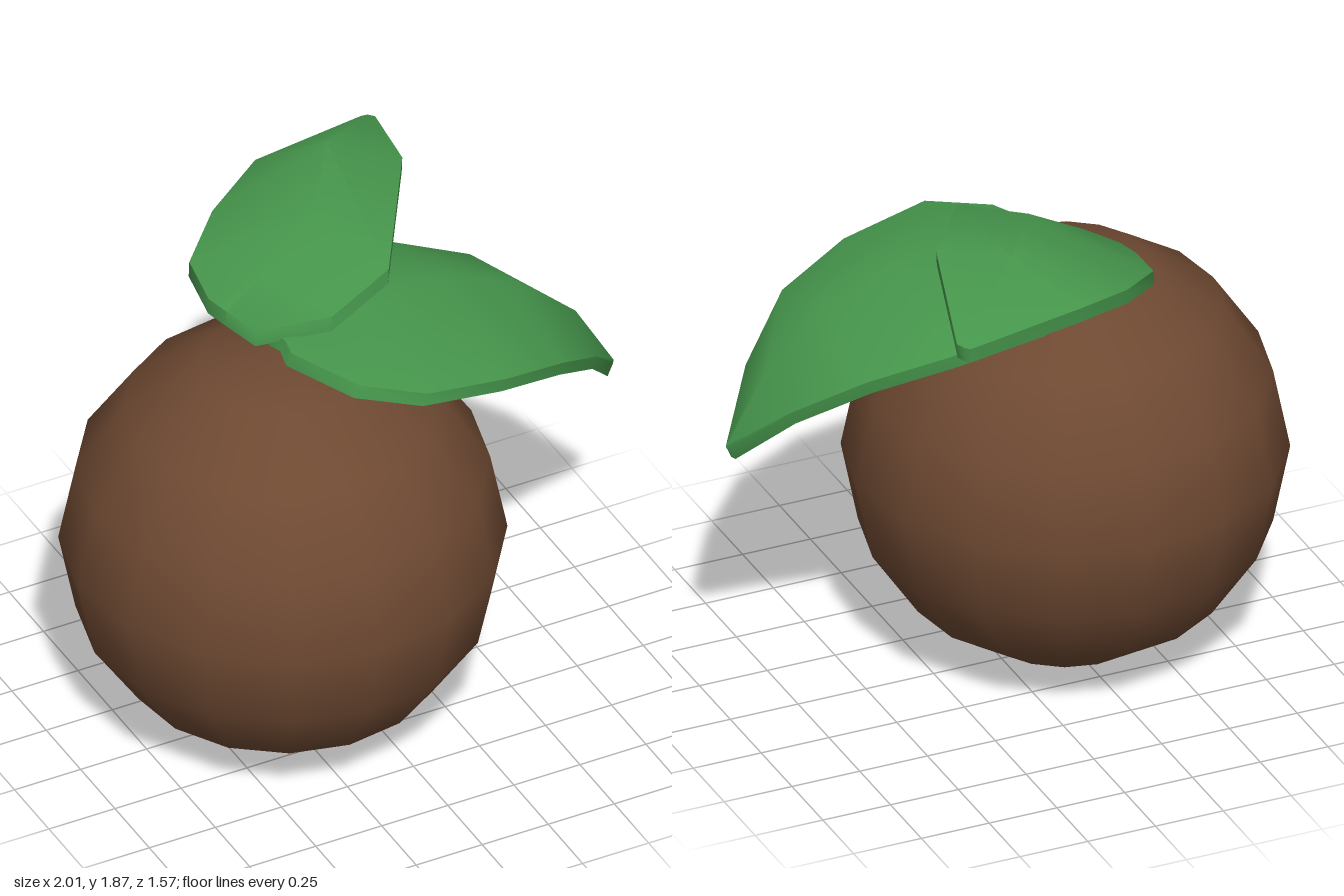
import * as THREE from 'three';
import { toCreasedNormals } from 'three/addons/utils/BufferGeometryUtils.js';

// Thick leaf from cross-sections [left, ridge, right] running base to tip
function leafGeometry(sections, drop) {
  const top = sections.flat();
  const n = top.length;
  const rows = sections.length;
  const under = top.map((p) => p.map((v, i) => v + drop[i]));
  const index = [];
  const quad = (a, b, c, d) => index.push(a, b, c, a, c, d);
  // Upper and lower faces
  for (let r = 0; r < rows - 1; r++) {
    for (let c = 0; c < 2; c++) {
      const a = r * 3 + c;
      // Split each half-blade the mirrored way
      if (c === 0) {
        index.push(a, a + 1, a + 4, a, a + 4, a + 3);
        index.push(n + a, n + a + 4, n + a + 1, n + a, n + a + 3, n + a + 4);
      } else {
        index.push(a, a + 1, a + 3, a + 1, a + 4, a + 3);
        index.push(n + a, n + a + 3, n + a + 1, n + a + 1, n + a + 3, n + a + 4);
      }
    }
  }
  // Rim: right side out to the tip, left side back to the base
  const rim = [];
  for (let r = 0; r < rows; r++) rim.push(r * 3 + 2);
  rim.push((rows - 1) * 3 + 1);
  for (let r = rows - 1; r >= 0; r--) rim.push(r * 3);
  rim.push(1);
  rim.forEach((p, i) => {
    const q = rim[(i + 1) % rim.length];
    quad(p, n + p, n + q, q);
  });
  const g = new THREE.BufferGeometry();
  g.setAttribute('position', new THREE.Float32BufferAttribute([...top, ...under].flat(), 3));
  g.setIndex(index);
  return toCreasedNormals(g, 0.85);
}

export function createModel() {
  const model = new THREE.Group();
  const brown = new THREE.MeshStandardMaterial({ name: 'brown skin', color: 0x6e4932 });
  const green = new THREE.MeshStandardMaterial({ name: 'leaf green', color: 0x46964c });
  const add = (name, geometry, material) => {
    const mesh = new THREE.Mesh(geometry, material);
    mesh.name = name;
    model.add(mesh);
    return mesh;
  };

  // Round fruit
  const fruit = add('fruit', new THREE.SphereGeometry(0.755, 16, 8), brown);
  fruit.position.set(-0.248, 0.757, 0.026);
  fruit.rotation.y = -0.045;

  // Lower leaf, drooping to the side: x, ridge height, edge height, half width
  const lower = [
    [-0.25, 1.55, 1.545, 0.07],
    [-0.13, 1.58, 1.54, 0.33],
    [0.06, 1.64, 1.53, 0.465],
    [0.37, 1.6, 1.47, 0.44],
    [0.64, 1.49, 1.385, 0.345],
    [0.85, 1.3, 1.23, 0.18],
    [0.995, 1.045, 1.04, 0.012],
  ].map(([x, ridge, edge, w]) => [
    [x, edge, 0.026 - w], [x + 0.01, ridge, 0.026], [x, edge, 0.026 + w],
  ]);
  add('lowerLeaf', leafGeometry(lower, [-0.02, -0.045, 0]), green);

  // Upper leaf, raised and tilted towards the back
  const upper = [
    [[-0.39, 1.6, -0.24], [-0.37, 1.6, -0.15], [-0.31, 1.56, -0.05]],
    [[-0.37, 1.63, -0.42], [-0.23, 1.69, -0.16], [-0.1, 1.65, 0.1]],
    [[-0.2, 1.68, -0.58], [0, 1.835, -0.22], [0.13, 1.75, 0.07]],
    [[0.03, 1.73, -0.71], [0.2, 1.875, -0.52], [0.4, 1.85, -0.35]],
    [[0.47, 1.715, -0.785], [0.49, 1.72, -0.775], [0.505, 1.725, -0.75]],
  ];
  add('upperLeaf', leafGeometry(upper, [-0.005, -0.055, 0.005]), green);

  return model;
}
